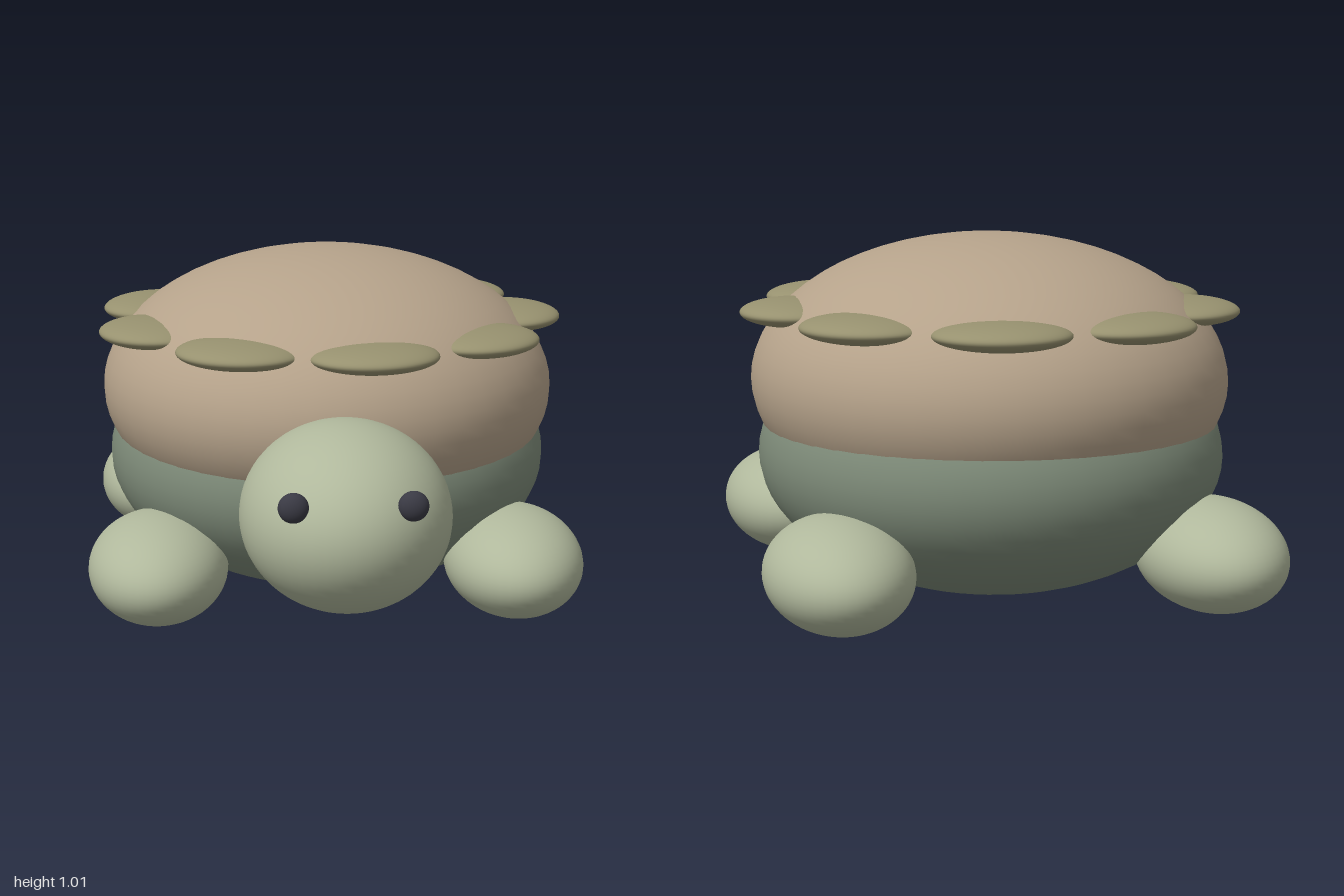
import * as THREE from 'three';

const material = (color) => new THREE.MeshStandardMaterial({ color });
const shellColor = material(0xb5a28a);
const skinColor = material(0xb0b89c);
const bodyColor = material(0x7d8a78);
const scuteColor = material(0x97916f);
const eyeColor = material(0x3a3a44);

const ball = new THREE.SphereGeometry(1, 48, 32);

// Smooth ellipsoid from centre and radii
function ellipsoid(name, mat, position, radii) {
  const mesh = new THREE.Mesh(ball, mat);
  mesh.name = name;
  mesh.position.set(...position);
  mesh.scale.set(...radii);
  return mesh;
}

export function createModel() {
  const turtle = new THREE.Group();
  turtle.name = 'turtle';

  // Belly and domed shell
  turtle.add(ellipsoid('body', bodyColor, [0, 0.4, -0.22], [0.663, 0.395, 0.722]));
  turtle.add(ellipsoid('shell', shellColor, [0, 0.61, -0.203], [0.68, 0.41, 0.741]));

  // Head with a pair of eyes
  turtle.add(ellipsoid('head', skinColor, [0, 0.43, 0.64], [0.288, 0.255, 0.36]));
  for (const [side, s] of [['left', 1], ['right', -1]]) {
    turtle.add(ellipsoid(side + 'Eye', eyeColor, [s * 0.154, 0.535, 0.932], [0.04, 0.04, 0.03]));

    // Flippers
    turtle.add(ellipsoid(side + 'FrontLeg', skinColor, [s * 0.515, 0.174, 0.268], [0.201, 0.152, 0.302]));
    turtle.add(ellipsoid(side + 'BackLeg', skinColor, [s * 0.515, 0.174, -0.692], [0.201, 0.152, 0.302]));
  }

  // Ring of flat scutes around the shell
  const scutes = new THREE.Group();
  scutes.name = 'scutes';
  const count = 9;
  for (let i = 0; i < count; i++) {
    const a = (i / count) * Math.PI * 2;
    const position = [0.552 * Math.cos(a), 0.808, -0.2 + 0.597 * Math.sin(a)];
    const scute = ellipsoid('scute', scuteColor, position, [0.16, 0.04, 0.186]);
    scute.rotation.y = -a;
    scutes.add(scute);
  }
  turtle.add(scutes);

  return turtle;
}
